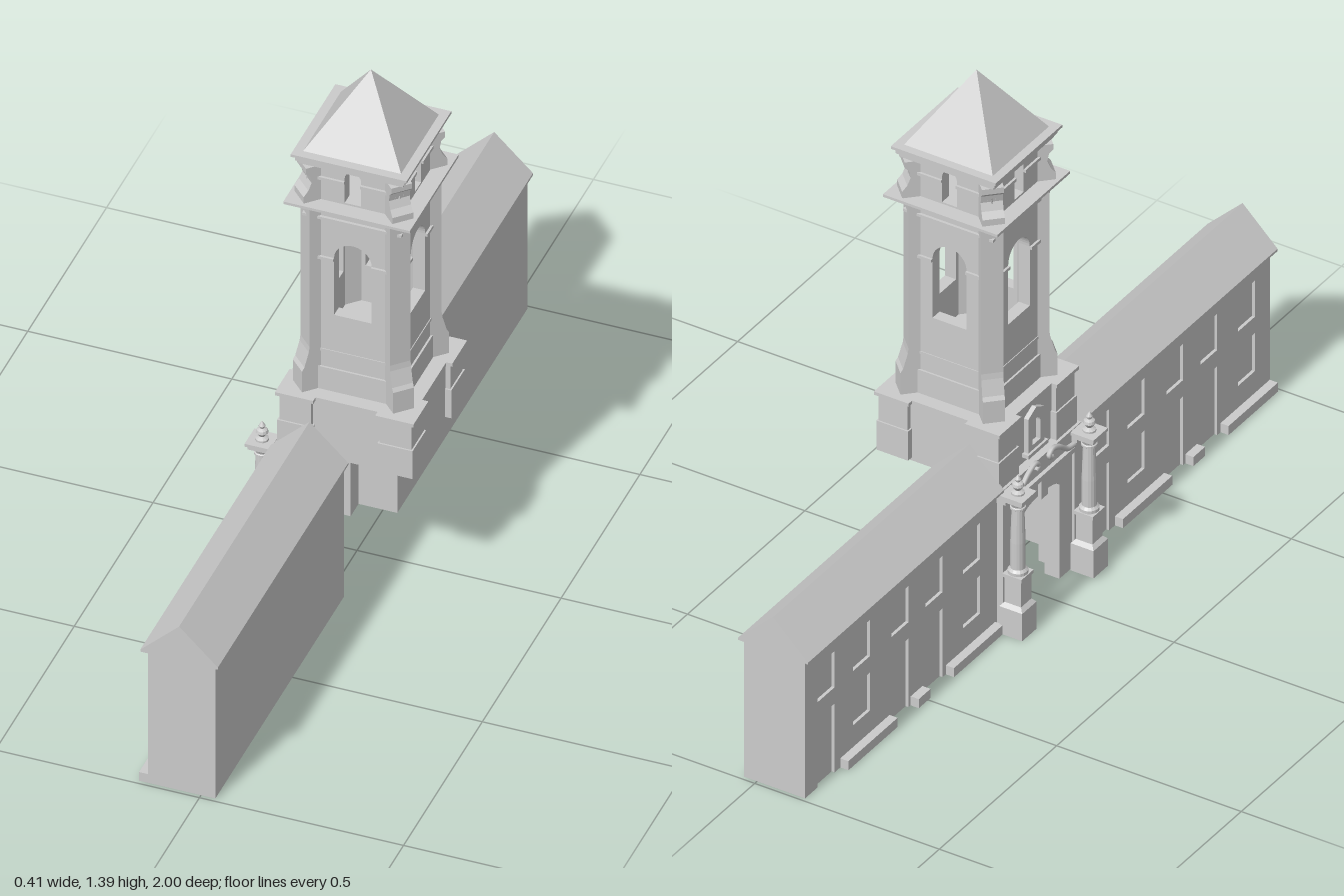
import * as THREE from 'three';

const material = new THREE.MeshStandardMaterial({ color: 0xcccccc, flatShading: true });
const smooth = new THREE.MeshStandardMaterial({ color: 0xcccccc });

function add(parent, name, geometry, mat = material) {
  const mesh = new THREE.Mesh(geometry, mat);
  mesh.name = name;
  parent.add(mesh);
  return mesh;
}

// Box given by its limits on each axis
function box(parent, name, x0, x1, y0, y1, z0, z1) {
  const g = new THREE.BoxGeometry(x1 - x0, y1 - y0, z1 - z0);
  g.translate((x0 + x1) / 2, (y0 + y1) / 2, (z0 + z1) / 2);
  return add(parent, name, g);
}

// Square slab centred on the parent's vertical axis
const slab = (parent, name, half, y0, y1) => box(parent, name, -half, half, y0, y1, -half, half);

const polygon = (points) => new THREE.Shape(points.map(([x, y]) => new THREE.Vector2(x, y)));
const extrude = (shape, depth) =>
  new THREE.ExtrudeGeometry(shape, { depth, bevelEnabled: false, curveSegments: 10 });

// Round-headed opening
function archHole(half, y0, top) {
  const p = new THREE.Path();
  p.moveTo(-half, y0);
  p.lineTo(half, y0);
  p.lineTo(half, top - half);
  p.absarc(0, top - half, half, 0, Math.PI, false);
  p.closePath();
  return p;
}

function rectHole(cx, half, y0, y1) {
  return new THREE.Path(polygon([[cx - half, y0], [cx + half, y0], [cx + half, y1], [cx - half, y1]]).getPoints());
}

// Long wing: body, pitched roof, facade with recessed doors and windows
function wing(parent, name, z0, z1, shift) {
  const g = new THREE.Group();
  g.name = name;
  parent.add(g);
  box(g, 'wingBody', -0.122, 0.035, 0, 0.383, z0, z1);
  const roof = extrude(polygon([[-0.145, 0.38], [0.045, 0.38], [0.045, 0.386], [-0.05, 0.478], [-0.145, 0.386]]),
    z1 - z0 + 0.01);
  roof.translate(0, 0, z0 < 0 ? z0 - 0.01 : z0);
  add(g, 'wingRoof', roof);

  const doors = [-0.9, -0.585, -0.44].map((z) => z + shift);
  const windows = [-0.75, -0.28].map((z) => z + shift);
  const outline = [[z0, 0]];
  for (const d of doors) outline.push([d - 0.036, 0], [d - 0.036, 0.19], [d + 0.036, 0.19], [d + 0.036, 0]);
  outline.push([z1, 0], [z1, 0.383], [z0, 0.383]);
  const facade = polygon(outline);
  for (const w of windows) facade.holes.push(rectHole(w, 0.036, 0.085, 0.19));
  for (const w of [...doors, ...windows]) facade.holes.push(rectHole(w, 0.036, 0.235, 0.335));
  add(g, 'facade', extrude(facade, 0.008)).rotation.y = -Math.PI / 2;
  g.getObjectByName('facade').position.x = -0.122;

  // plinth, broken at the doors
  for (const [a, b] of [[-0.84, -0.63], [-0.54, -0.49], [-0.39, -0.18]])
    box(g, 'plinth', -0.152, -0.13, 0, 0.025, a + shift, b + shift);
}

// Free-standing column on a pedestal with finial
function column(parent, z) {
  const g = new THREE.Group();
  g.name = 'gateColumn';
  g.position.set(-0.174, 0, z);
  parent.add(g);
  slab(g, 'pedestalFoot', 0.031, 0, 0.075);
  add(g, 'pedestalSlope', new THREE.CylinderGeometry(0.022 * Math.SQRT2, 0.031 * Math.SQRT2, 0.01, 4)
    .rotateY(Math.PI / 4)).position.y = 0.08;
  slab(g, 'pedestal', 0.022, 0.085, 0.155);
  slab(g, 'pedestalCap', 0.026, 0.155, 0.164);
  const shaft = [[0, 0.16], [0.024, 0.164], [0.024, 0.172], [0.018, 0.178], [0.018, 0.25], [0.015, 0.338],
    [0.019, 0.341], [0.019, 0.346], [0.016, 0.348], [0.023, 0.364], [0, 0.364]];
  add(g, 'columnShaft', new THREE.LatheGeometry(shaft.map((p) => new THREE.Vector2(...p)), 16));
  slab(g, 'entablature', 0.026, 0.362, 0.372);
  slab(g, 'entablatureCap', 0.031, 0.372, 0.38);
  const finial = [[0.016, 0.38], [0.016, 0.385], [0.006, 0.39], [0.015, 0.402], [0.013, 0.409], [0.005, 0.413],
    [0.008, 0.42], [0, 0.433]];
  add(g, 'finial', new THREE.LatheGeometry(finial.map((p) => new THREE.Vector2(...p)), 12));
  // pilaster and beam tying the column to the wall
  box(g, 'wallPilaster', 0.028, 0.05, 0, 0.362, -0.02, 0.02);
  box(g, 'tieBeam', 0.02, 0.055, 0.35, 0.378, -0.022, 0.022);
}

// Wall across the passage with a flat-arched opening
function gateWall(parent, name, half, spring, crown, x0, x1) {
  const s = new THREE.Shape();
  s.moveTo(-0.17, 0);
  s.lineTo(-half, 0);
  s.lineTo(-half, spring);
  s.quadraticCurveTo(-half * 0.8, crown, 0, crown);
  s.quadraticCurveTo(half * 0.8, crown, half, spring);
  s.lineTo(half, 0);
  s.lineTo(0.172, 0);
  s.lineTo(0.172, 0.38);
  s.lineTo(-0.17, 0.38);
  const m = add(parent, name, extrude(s, x1 - x0));
  m.rotation.y = -Math.PI / 2;
  m.position.x = x1;
}

function gate(parent) {
  const g = new THREE.Group();
  g.name = 'gate';
  parent.add(g);
  gateWall(g, 'gateFront', 0.078, 0.26, 0.28, -0.14, -0.1);
  gateWall(g, 'gateRear', 0.115, 0.28, 0.302, -0.1, -0.06);
  for (const s of [-1, 1]) {
    column(g, s * 0.152);
    // curved half pediment over the arch
    const curve = new THREE.CatmullRomCurve3([[0.13, 0.345], [0.1, 0.35], [0.065, 0.375], [0.035, 0.385],
      [0.022, 0.372], [0.035, 0.365]].map(([z, y]) => new THREE.Vector3(-0.147, y, s * z)));
    add(g, 'scrollPediment', new THREE.TubeGeometry(curve, 24, 0.007, 6), smooth);
  }
  box(g, 'gateLintel', -0.15, -0.13, 0.325, 0.338, -0.13, 0.13);
  box(g, 'keystone', -0.15, -0.13, 0.275, 0.325, -0.013, 0.013);
}

function tower(parent) {
  const t = new THREE.Group();
  t.name = 'tower';
  t.position.set(0.033, 0, -0.003);
  parent.add(t);

  // overhanging base with heavy corner blocks
  slab(t, 'towerBase', 0.15, 0.367, 0.53);
  for (const sx of [-1, 1]) for (const sz of [-1, 1]) {
    const c = new THREE.Group();
    c.name = 'cornerBlock';
    c.position.set(sx * 0.123, 0, sz * 0.123);
    t.add(c);
    slab(c, 'blockLower', 0.043, 0.375, 0.455);
    slab(c, 'blockUpper', 0.039, 0.455, 0.527);
    slab(c, 'blockCap', 0.047, 0.527, 0.536);
  }
  slab(t, 'baseCornice', 0.155, 0.526, 0.536);

  const buttress = [[0.1, 0.535], [0.184, 0.535], [0.184, 0.595], [0.178, 0.605], [0.167, 0.645], [0.165, 0.66],
    [0.165, 1.07], [0.18, 1.078], [0.18, 1.095], [0.168, 1.11], [0.16, 1.13], [0.164, 1.15], [0.174, 1.16],
    [0.174, 1.175], [0.1, 1.175]];
  for (let k = 0; k < 4; k++) {
    const side = new THREE.Group();
    side.name = 'towerSide';
    side.rotation.y = (k * Math.PI) / 2;
    t.add(side);
    // wall with belfry opening and small upper opening
    const h = 0.115;
    const wall = polygon([[-h + 0.001, 0.535], [h - 0.001, 0.535], [h - 0.001, 1.19], [-h + 0.001, 1.19]]);
    wall.holes.push(archHole(0.046, 0.753, 0.962), archHole(0.02, 1.082, 1.172));
    add(side, 'towerWall', extrude(wall, 0.03).translate(0, 0, h - 0.03));
    // string courses stopping at the openings
    for (const s of [-1, 1]) for (const [a, y] of [[0.046, 0.912], [0.02, 1.14]]) {
      const [x0, x1] = s > 0 ? [a, 0.108] : [-0.108, -a];
      box(side, 'stringCourse', x0, x1, y - 0.004, y + 0.004, 0.11, 0.121);
    }
    // diagonal corner buttress
    const b = add(side, 'cornerButtress', extrude(polygon(buttress), 0.052).translate(0, 0, -0.026));
    b.rotation.y = Math.PI / 4;
  }

  slab(t, 'shaftFoot', 0.12, 0.535, 0.6);
  slab(t, 'lowerBand', 0.117, 0.643, 0.65);
  slab(t, 'upperBand', 0.122, 1.024, 1.031);
  slab(t, 'belfryCornice', 0.145, 1.062, 1.07);
  slab(t, 'belfryCorniceCap', 0.155, 1.07, 1.077);
  slab(t, 'eavesMoulding', 0.128, 1.176, 1.186);
  slab(t, 'eavesCornice', 0.134, 1.186, 1.2);
  slab(t, 'eavesCap', 0.142, 1.2, 1.207);
  const roof = new THREE.ConeGeometry(0.12 * Math.SQRT2, 0.182, 4).rotateY(Math.PI / 4);
  add(t, 'towerRoof', roof).position.y = 1.298;

  // small niche on the gate side of the base
  const niche = new THREE.Group();
  niche.name = 'niche';
  niche.rotation.y = -Math.PI / 2;
  t.add(niche);
  const frame = polygon([[-0.034, 0.405], [0.034, 0.405], [0.034, 0.5], [0, 0.517], [-0.034, 0.5]]);
  frame.holes.push(archHole(0.017, 0.42, 0.487));
  add(niche, 'nicheFrame', extrude(frame, 0.012).translate(0, 0, 0.15));
  box(niche, 'nicheSill', -0.042, 0.042, 0.397, 0.407, 0.145, 0.168);
}

export function createModel() {
  const model = new THREE.Group();
  model.name = 'gateTower';
  wing(model, 'rearWing', -0.99, -0.165, 0);
  wing(model, 'frontWing', 0.172, 0.99, 1.17);
  gate(model);
  tower(model);
  return model;
}
